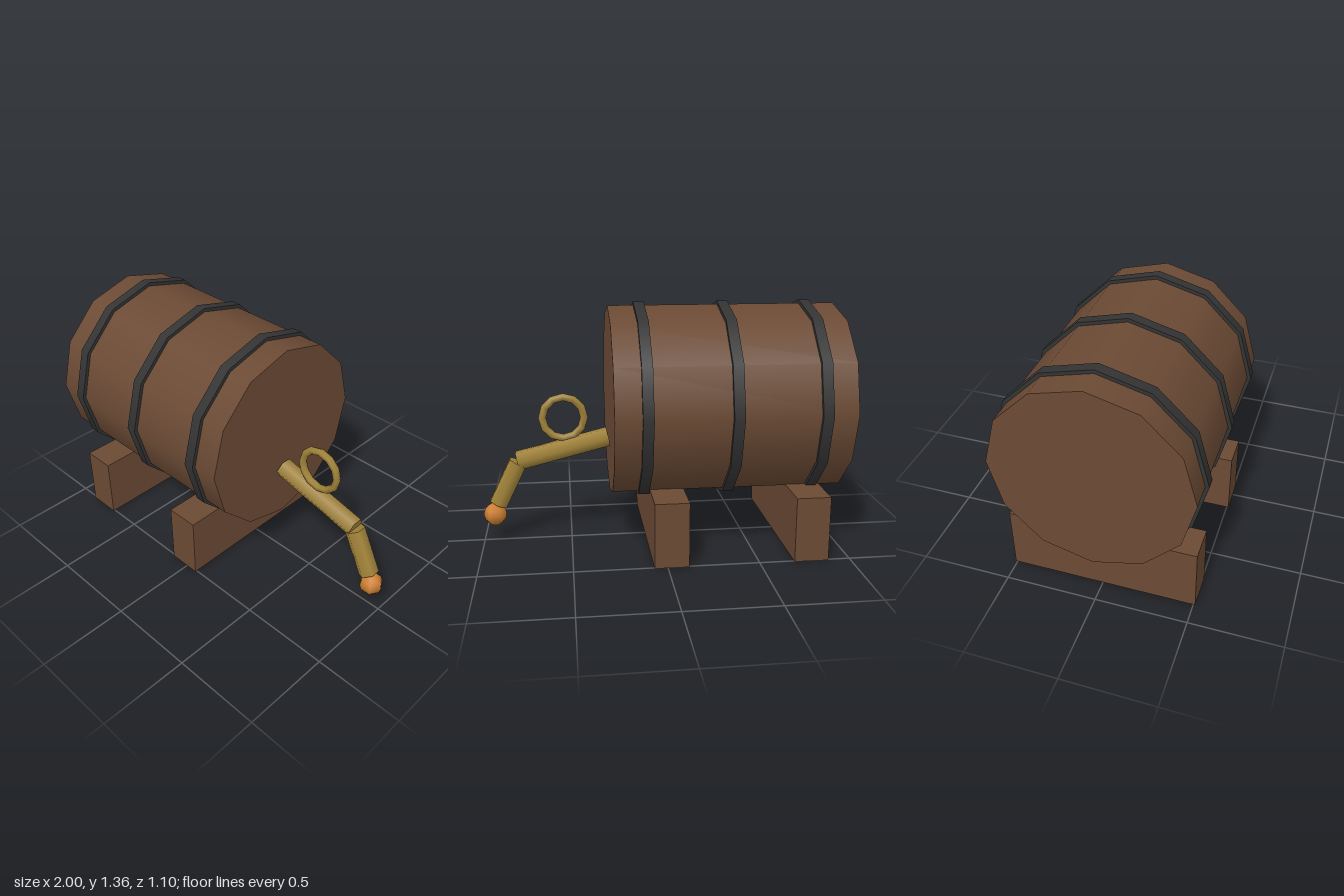
import * as THREE from 'three';

const material = (name, color) => {
  const m = new THREE.MeshStandardMaterial({ color });
  m.name = name;
  return m;
};

export function createModel() {
  const wood = material('brown wood', 0x6b4a34);
  const iron = material('dark iron', 0x333333);
  const brass = material('brass', 0xa08239);
  const copper = material('copper', 0xcd7f32);
  const model = new THREE.Group();
  model.name = 'barrelWithSpout';

  const add = (name, geometry, mat, x, y, z = 0) => {
    const mesh = new THREE.Mesh(geometry, mat);
    mesh.name = name;
    mesh.position.set(x, y, z);
    model.add(mesh);
    return mesh;
  };

  // Twelve-sided drum lying along x
  const AXIS_Y = 0.812;
  const drum = (name, radius, length, mat, x) => {
    const g = new THREE.CylinderGeometry(radius, radius, length, 12).rotateZ(-Math.PI / 2);
    return add(name, g, mat, x, AXIS_Y);
  };
  drum('barrel', 0.528, 1.275, wood, -0.3625);

  // Iron hoops around the barrel
  for (const x of [-0.83, -0.363, 0.104]) drum('hoop', 0.548, 0.058, iron, x);

  // Cradle beams
  for (const x of [-0.785, -0.022]) {
    add('cradleBeam', new THREE.BoxGeometry(0.187, 0.36, 1.02), wood, x, 0.18);
  }

  // Six-sided pipe between two points in the xy plane
  const pipe = (name, x1, y1, x2, y2) => {
    const length = Math.hypot(x2 - x1, y2 - y1);
    const g = new THREE.CylinderGeometry(0.057, 0.057, length, 6);
    const mesh = add(name, g, brass, (x1 + x2) / 2, (y1 + y2) / 2);
    mesh.rotation.z = Math.atan2(y2 - y1, x2 - x1) - Math.PI / 2;
  };
  pipe('spoutPipe', 0.279, 0.598, 0.794, 0.47);
  pipe('spoutNozzle', 0.793, 0.462, 0.912, 0.219);

  // Ring handle above the spout and drop at its tip
  add('ringHandle', new THREE.TorusGeometry(0.118, 0.022, 6, 12), brass, 0.532, 0.714);
  add('drop', new THREE.SphereGeometry(0.066, 6, 6), copper, 0.934, 0.156);

  return model;
}
